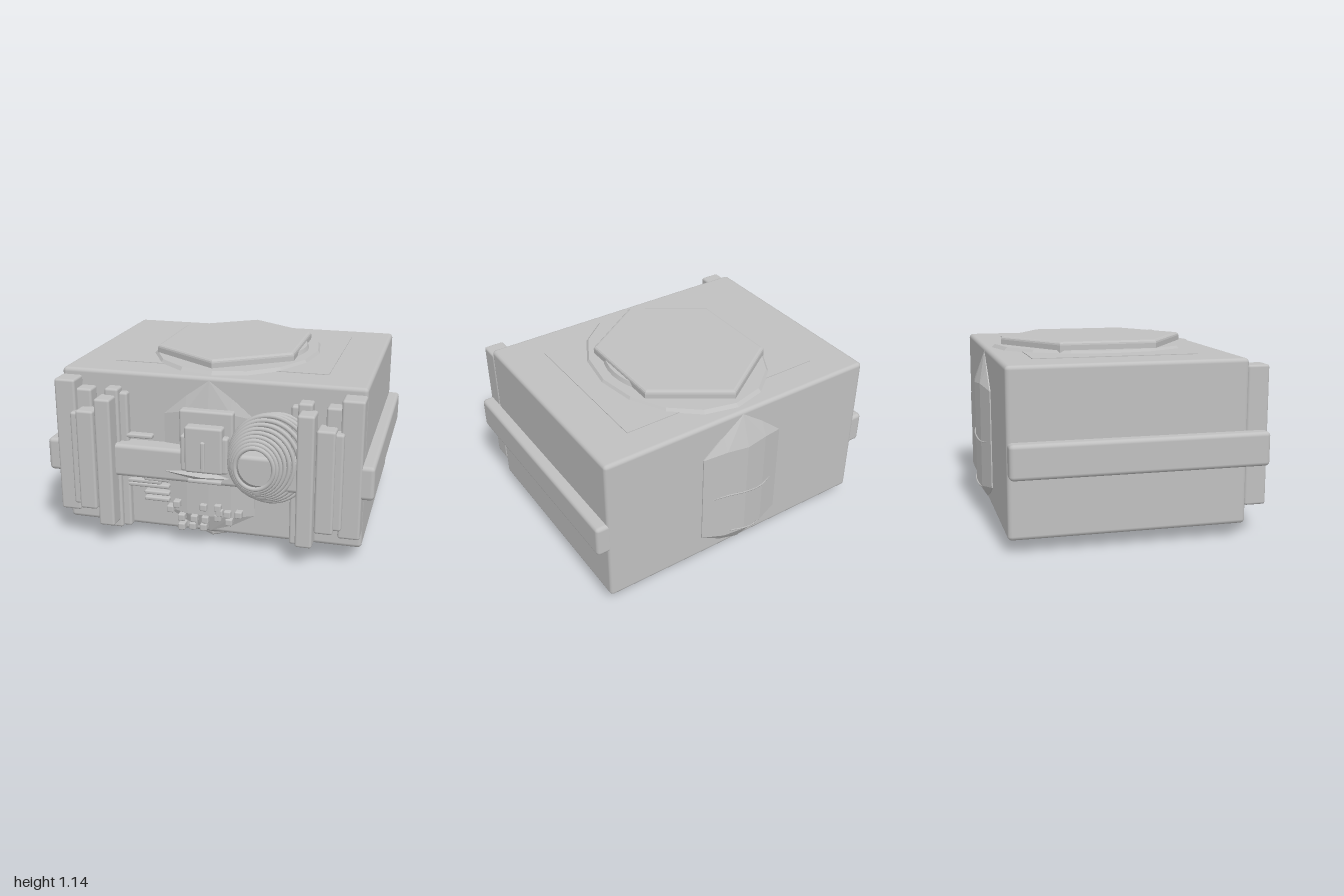
import * as THREE from 'three';
import { RoundedBoxGeometry } from 'three/addons/geometries/RoundedBoxGeometry.js';
import { ConvexGeometry } from 'three/addons/geometries/ConvexGeometry.js';

export function createModel() {
  const root = new THREE.Group();
  root.name = 'machineCase';
  const gray = new THREE.MeshStandardMaterial({ color: 0xc0c0c0 });
  gray.name = 'plain gray';

  const add = (name, geo, parent = root) => {
    const mesh = new THREE.Mesh(geo, gray);
    mesh.name = name;
    parent.add(mesh);
    return mesh;
  };
  // Rounded box given by its limits on each axis
  const box = (name, x0, x1, y0, y1, z0, z1, r = 0.015) => {
    const geo = new RoundedBoxGeometry(x1 - x0, y1 - y0, z1 - z0, 2, r);
    geo.translate((x0 + x1) / 2, (y0 + y1) / 2, (z0 + z1) / 2);
    return add(name, geo);
  };

  // Case and the band running around its sides and front
  box('case', -0.93, 0.93, 0.08, 1.07, -0.77, 0.65, 0.025);
  box('band', -1, 1, 0.44, 0.645, -0.765, 0.768, 0.025);
  const plate = add('topPlate', new THREE.BoxGeometry(1.34, 0.01, 1));
  plate.position.set(0, 1.069, -0.075);

  // Stacked hatch, on the top and again underneath
  const makeHatch = (name) => {
    const g = new THREE.Group();
    g.name = name;
    const flange = new THREE.CylinderGeometry(0.93, 1, 0.05, 16).toNonIndexed();
    flange.scale(0.56, 1, 0.69);
    flange.computeVertexNormals();
    add('hatchFlange', flange, g).position.y = 0.495;

    const ring = new THREE.CylinderGeometry(0.43, 0.455, 0.06, 40);
    add('hatchRing', ring, g).position.set(0.015, 0.515, 0);

    const b = 0.02;
    const outline = [[0, 0.57], [-0.42, 0.29], [-0.42, -0.29], [0, -0.57], [0.42, -0.29], [0.42, 0.29]];
    const shape = new THREE.Shape(outline.map(([x, y]) => new THREE.Vector2(x, y)));
    const hex = new THREE.ExtrudeGeometry(shape, {
      depth: 0.05, bevelEnabled: true, bevelSize: b, bevelThickness: b, bevelSegments: 3,
    });
    hex.rotateX(-Math.PI / 2);
    add('hatchCover', hex, g).position.set(-0.02, 0.5, -0.01);
    g.position.set(0, 0.57, -0.06);
    root.add(g);
    return g;
  };
  makeHatch('topHatch');
  makeHatch('bottomHatch').rotation.x = Math.PI;

  // Faceted bulges on the back and front walls
  const bulge = (name, wall, depth) => {
    const pts = [];
    for (const s of [-1, 1]) {
      pts.push([s * 0.28, 0.83, 0.1], [s * 0.28, 0.22, 0.1]);
      pts.push([s * 0.14, 0.86, 0.75], [s * 0.14, 0.2, 0.75]);
      pts.push([s * 0.14, 0.95, 0.1], [s * 0.14, 0.14, 0.1]);
      pts.push([s * 0.28, 0.83, -0.5], [s * 0.28, 0.22, -0.5]);
    }
    pts.push([0, 1.05, 0], [0, 0.85, 1], [0, 0.2, 1], [0, 0.09, 0]);
    add(name, new ConvexGeometry(pts.map(([x, y, k]) => new THREE.Vector3(x, y, wall + depth * k))));
  };
  bulge('backBulge', -0.77, -0.067);
  bulge('frontBulge', 0.65, 0.035);

  // Cracks across the back bulge
  for (const [y, w] of [[0.51, 0.26], [0.21, 0.2]]) {
    const crack = [[-w, y, -0.775], [-w / 2, y - 0.02, -0.822], [0, y, -0.839], [w / 2, y + 0.015, -0.822], [w, y - 0.01, -0.775]];
    const curve = new THREE.CatmullRomCurve3(crack.map((p) => new THREE.Vector3(...p)));
    add('backSeam', new THREE.TubeGeometry(curve, 20, 0.005, 5));
  }

  // Clustered posts at both front corners
  for (const s of [-1, 1]) {
    const post = (name, a, b, ...rest) => box(name, Math.min(s * a, s * b), Math.max(s * a, s * b), ...rest);
    post('cornerPost', 0.8, 0.93, 0.19, 1.03, 0.64, 0.775);
    post('backPost', 0.71, 0.81, 0.23, 0.97, 0.64, 0.74);
    post('midPost', 0.67, 0.78, 0.23, 0.86, 0.7, 0.83);
    post('midPostFlange', 0.76, 0.825, 0.25, 0.84, 0.7, 0.81);
    post('innerPost', 0.56, 0.66, 0.13, 0.94, 0.7, 0.83);
    post('innerPostFin', 0.545, 0.63, 0.08, 0.98, 0.64, 0.73);
    post('rearPost', 0.5, 0.57, 0.08, 0.95, 0.63, 0.695);
  }

  // Layered panel at the centre of the front
  box('panelBack', -0.165, 0.165, 0.52, 0.885, 0.66, 0.73);
  box('panelMiddle', -0.145, 0.145, 0.52, 0.745, 0.69, 0.78);
  box('panelFront', -0.115, 0.115, 0.52, 0.805, 0.7, 0.795);
  box('panelLever', -0.014, 0.014, 0.53, 0.72, 0.78, 0.81, 0.01);
  box('panelFoot', -0.1, 0.11, 0.455, 0.48, 0.75, 0.795, 0.01);
  const shelf = [[-0.3, 0.505, 0.75], [0.16, 0.49, 0.75], [0.15, 0.5, 0.79], [0, 0.505, 0.82],
    [-0.15, 0.51, 0.8], [0, 0.535, 0.76], [-0.05, 0.485, 0.8]];
  add('panelShelf', new ConvexGeometry(shelf.map((p) => new THREE.Vector3(...p))));

  // Coiled hose: rings widen and drift outward toward the wall
  const rings = 9;
  for (let i = 0; i < rings; i++) {
    const t = i / (rings - 1);
    const ring = add('coilRing', new THREE.TorusGeometry(0.115 + 0.125 * t, 0.013, 8, 48));
    ring.scale.y = 1.1;
    ring.position.set(0.315 + 0.07 * t * t, 0.595 + 0.03 * t * t, 0.825 - 0.1 * t);
  }
  const collar = add('coilCollar', new THREE.CylinderGeometry(0.11, 0.21, 0.09, 40, 1, true));
  collar.rotation.x = Math.PI / 2;
  collar.position.set(0.33, 0.6, 0.775);
  const looseTurns = [[0.4, 0.64, 0.24, 0.715], [0.43, 0.66, 0.22, 0.69]];
  for (const [x, y, r, z] of looseTurns) {
    const turn = add('looseTurn', new THREE.TorusGeometry(r, 0.015, 8, 48));
    turn.scale.y = 1.05;
    turn.position.set(x, y, z);
  }

  // Thin horizontal rods on the front wall: x0, x1, y
  const rods = [[-0.54, -0.35, 0.68], [-0.41, -0.25, 0.455], [-0.41, -0.25, 0.41], [-0.41, -0.25, 0.365],
    [-0.41, -0.25, 0.32], [-0.41, -0.25, 0.28], [-0.54, -0.3, 0.39], [-0.52, -0.3, 0.365], [-0.5, -0.3, 0.435]];
  for (const [x0, x1, y] of rods) box('rod', x0, x1, y - 0.013, y + 0.013, 0.64, 0.695, 0.01);

  // Scattered studs low on the front wall
  const studs = [[-0.24, 0.23], [-0.2, 0.265], [-0.17, 0.18], [-0.17, 0.12], [-0.09, 0.18], [-0.1, 0.13],
    [-0.03, 0.26], [-0.02, 0.18], [-0.03, 0.13], [0.06, 0.265], [0.06, 0.2], [0.07, 0.235],
    [0.13, 0.18], [0.12, 0.23], [0.19, 0.235]];
  for (const [x, y] of studs) box('stud', x - 0.022, x + 0.022, y - 0.022, y + 0.022, 0.64, 0.71, 0.008);

  return root;
}
